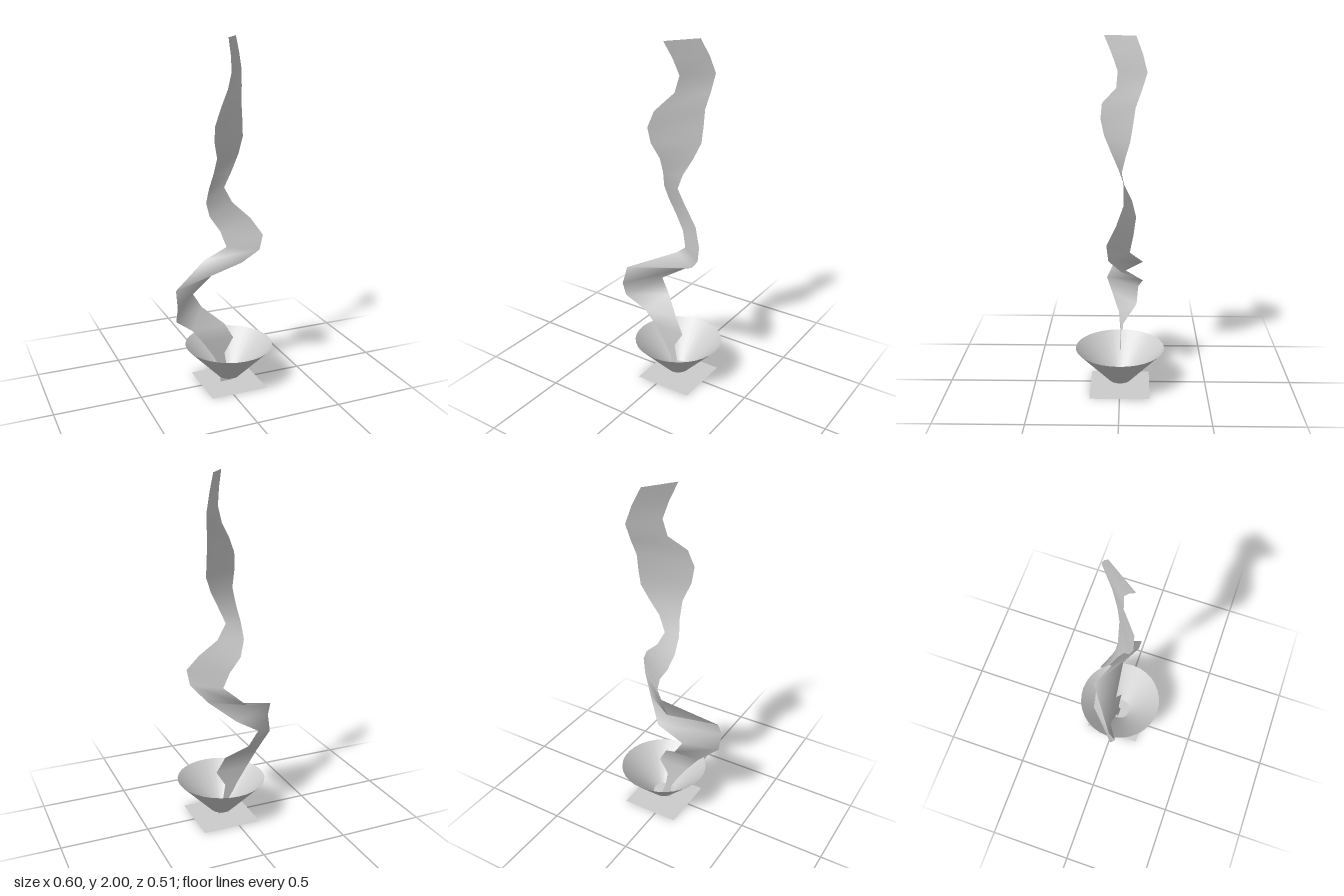
import * as THREE from 'three';

// Ribbon cross-sections from bottom to top, evenly spaced in y:
// left edge x, left edge z, right edge x, right edge z
const SECTIONS = [
  [-0.01, 0, 0.06, 0], [-0.01, 0, 0.03, 0], [-0.06, 0, 0.015, 0], [-0.12, 0, 0.07, 0],
  [-0.19, 0.01, 0.02, -0.01], [-0.3, 0.055, -0.09, -0.095], [-0.3, 0.085, -0.145, -0.105],
  [-0.295, 0.045, 0, -0.13], [-0.06, -0.13, 0.125, -0.01], [0.05, -0.055, 0.205, 0.06],
  [0.02, -0.075, 0.22, 0.07], [-0.04, -0.09, 0.165, 0.02], [-0.07, -0.065, 0.07, -0.02],
  [-0.07, -0.02, 0.02, -0.02], [-0.055, 0.012, 0.06, -0.01], [-0.05, 0.05, 0.11, -0.03],
  [-0.08, 0.09, 0.147, -0.055], [-0.087, 0.11, 0.15, -0.07], [-0.05, 0.1, 0.15, -0.083],
  [0.025, 0.02, 0.165, -0.115], [0.05, 0.012, 0.175, -0.143], [0.03, 0.045, 0.15, -0.12],
  [0, 0.085, 0.115, -0.085],
];

function ribbonGeometry(height) {
  const rows = SECTIONS.length - 1;
  const geometry = new THREE.PlaneGeometry(1, height, 1, rows);
  const position = geometry.attributes.position;
  // the plane's rows run from top to bottom
  for (let i = 0; i <= rows; i++) {
    const [lx, lz, rx, rz] = SECTIONS[rows - i];
    const y = height * (1 - i / rows);
    position.setXYZ(i * 2, lx, y, lz);
    position.setXYZ(i * 2 + 1, rx, y, rz);
  }
  geometry.computeVertexNormals();
  return geometry;
}

export function createModel() {
  const group = new THREE.Group();
  const lightGray = new THREE.MeshStandardMaterial({ color: 0xcccccc, side: THREE.DoubleSide });
  lightGray.name = 'lightGray';

  const add = (name, geometry, x, y) => {
    const mesh = new THREE.Mesh(geometry, lightGray);
    mesh.name = name;
    mesh.position.set(x, y, 0);
    group.add(mesh);
  };

  // Twisting ribbon of smoke
  add('smokeRibbon', ribbonGeometry(2), 0, 0);

  // Open flared bowl around the foot of the ribbon
  add('bowl', new THREE.CylinderGeometry(0.255, 0.063, 0.2, 32, 1, true), 0.042, 0.14);

  // Flat square base
  add('base', new THREE.PlaneGeometry(0.343, 0.343).rotateX(-Math.PI / 2), 0.042, 0);

  return group;
}
